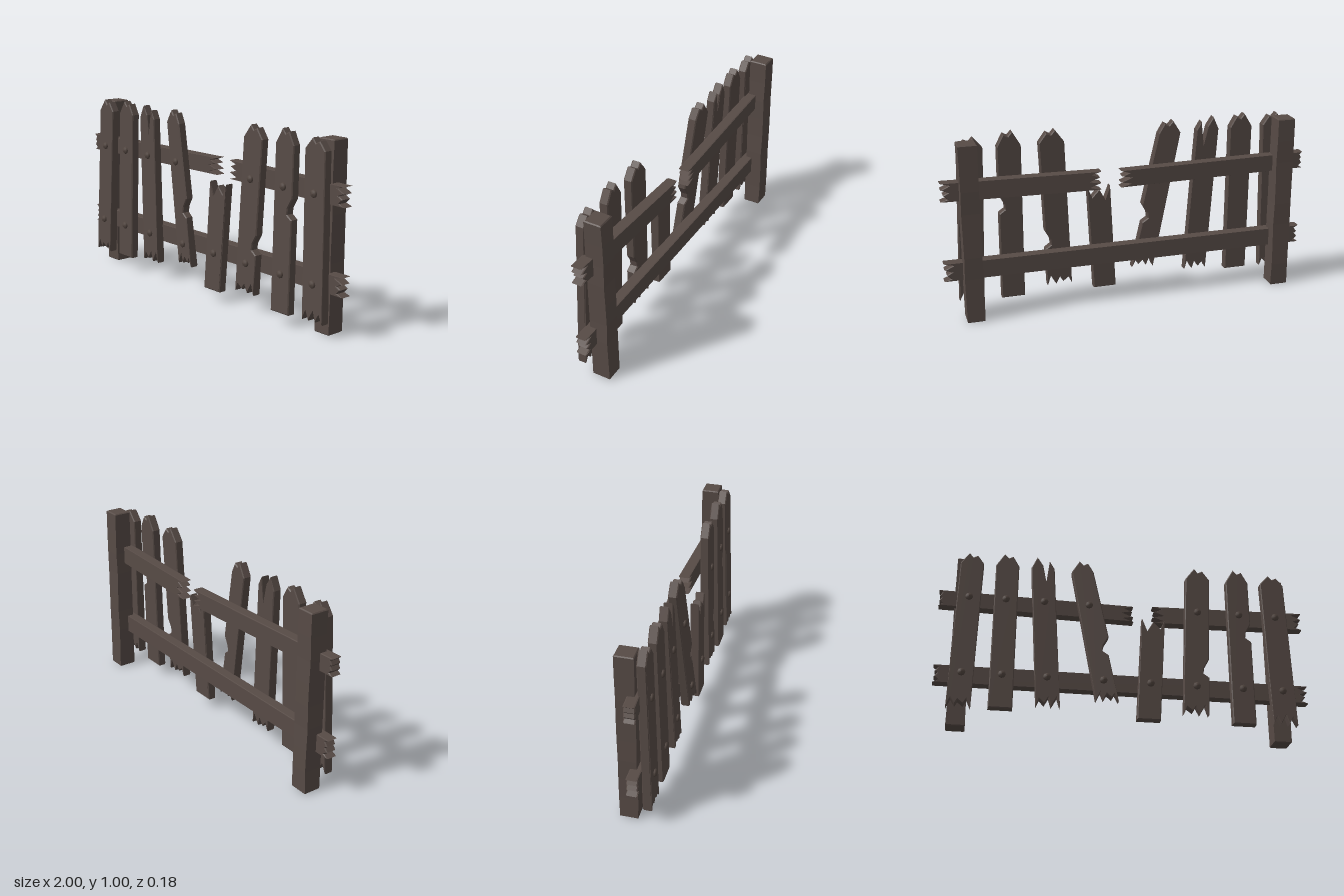
import * as THREE from 'three';

const wood = new THREE.MeshStandardMaterial({ color: 0x574b46 });
wood.name = 'weathered wood';
const iron = new THREE.MeshStandardMaterial({ color: 0x51453f });
iron.name = 'dull bolt';

const pt = (x, y) => new THREE.Vector2(x, y);

// Splintered edge between corners a and b: n teeth, cut to the left of the direction of travel
function splinters(a, b, n, depth) {
  const along = b.clone().sub(a);
  const inward = pt(-along.y, along.x).normalize();
  const points = [a];
  for (let i = 1; i < 2 * n - 2; i++) {
    const wobble = Math.sin(i * 2.3 + a.x * 9);
    const cut = depth * (i % 2 ? 0.85 + 0.15 * wobble : 0.15 + 0.15 * wobble);
    const t = (i + 0.2 * wobble) / (2 * n - 2);
    points.push(a.clone().addScaledVector(along, t).addScaledVector(inward, cut));
  }
  return [...points, b];
}

// Plank with worn edges; zAt(x, y) gives its centre depth
function plank(name, outline, thickness, zAt) {
  const bevel = 0.005;
  const geo = new THREE.ExtrudeGeometry(new THREE.Shape(outline), {
    depth: thickness - 2 * bevel, bevelEnabled: true, bevelSegments: 1,
    bevelSize: bevel, bevelThickness: bevel, bevelOffset: -bevel,
  });
  const p = geo.attributes.position;
  for (let i = 0; i < p.count; i++) {
    p.setZ(i, p.getZ(i) + bevel - thickness / 2 + zAt(p.getX(i), p.getY(i)));
  }
  geo.computeVertexNormals();
  const mesh = new THREE.Mesh(geo, wood);
  mesh.name = name;
  return mesh;
}

// Square post with worn edges and slightly wavy sides
function post(name, x) {
  const w = 0.048;
  const shape = new THREE.Shape([pt(-w, -w), pt(w, -w), pt(w, w), pt(-w, w)]);
  const geo = new THREE.ExtrudeGeometry(shape, {
    depth: 0.96, steps: 8, bevelEnabled: true, bevelSegments: 1,
    bevelSize: 0.005, bevelThickness: 0.005, bevelOffset: -0.005,
  });
  geo.rotateX(-Math.PI / 2);
  const p = geo.attributes.position;
  for (let i = 0; i < p.count; i++) {
    const y = p.getY(i);
    const s = 1 + 0.03 * Math.sin(y * 17 + x * 5);
    p.setXYZ(i, p.getX(i) * s, y + 0.005, p.getZ(i) * (2 - s));
  }
  geo.computeVertexNormals();
  const mesh = new THREE.Mesh(geo, wood);
  mesh.name = name;
  mesh.position.set(x, 0, -0.042);
  return mesh;
}

// Faceted domed bolt head facing forward
function bolt(x, y, z) {
  const geo = new THREE.LatheGeometry([pt(0.021, -0.01), pt(0.021, 0.004), pt(0.015, 0.011), pt(0, 0.014)], 8);
  geo.rotateX(Math.PI / 2);
  const mesh = new THREE.Mesh(geo, iron);
  mesh.name = 'bolt';
  mesh.position.set(x, y, z);
  return mesh;
}

// Horizontal rail with splintered ends; lean slants the left end, slope bends it in depth
function rail({ name, x0, x1, y0, y1, cut0, cut1, lean = 0, zAt = () => 0 }) {
  const outline = [
    ...splinters(pt(x1, y0), pt(x1, y1), 4, cut1),
    ...splinters(pt(x0 + lean, y1), pt(x0 + lean, y0), 4, cut0),
  ];
  return plank(name, outline, 0.058, zAt);
}

// Upright picket: foot and head centres, optional foot teeth, side nick and head style
function picket({ name, foot, head, base, tip, width = 0.125, teeth = 0, nick, style = 'pointed', yaw = 0 }) {
  const h = width / 2;
  const shoulder = style === 'broken' ? tip : 0.918;
  const mid = (y) => foot + ((head - foot) * (y - base)) / (shoulder - base);
  const left = pt(foot - h, base), right = pt(foot + h, base);
  const outline = teeth ? splinters(left, right, teeth, 0.055) : [left, right];
  if (nick) {
    const edge = mid(nick) + h;
    outline.push(pt(edge, nick - 0.035), pt(edge - 0.032, nick - 0.012), pt(edge - 0.028, nick + 0.02), pt(edge, nick + 0.07));
  }
  const heads = {
    pointed: () => [pt(head + 0.028, tip - 0.012), pt(head + 0.004, tip - 0.025), pt(head - 0.018, tip)],
    split: () => [pt(head + 0.035, tip - 0.02), pt(head + 0.02, tip - 0.15), pt(head, tip - 0.05), pt(head - 0.032, tip)],
    broken: () => splinters(pt(head + h, tip), pt(head - h, tip), 3, 0.08).slice(1, -1),
  };
  outline.push(pt(head + h, shoulder), ...heads[style](), pt(head - h, shoulder));

  const zAt = (x, y) => 0.058 - 0.026 * y + yaw * (x + 0.15);
  const group = new THREE.Group();
  group.name = name;
  group.add(plank('board', outline, 0.048, zAt));
  for (const y of [0.267, 0.71]) {
    if (y < tip) group.add(bolt(mid(y), y, zAt(mid(y), y) + 0.024));
  }
  return group;
}

const pickets = [
  { name: 'rightEndPicket', foot: -0.86, head: -0.835, base: 0.075, tip: 0.98, teeth: 4 },
  { name: 'rightOuterPicket', foot: -0.648, head: -0.645, base: 0.08, tip: 0.99 },
  { name: 'splitPicket', foot: -0.405, head: -0.453, base: 0.105, tip: 0.985, teeth: 4, style: 'split' },
  { name: 'leaningPicket', foot: -0.098, head: -0.235, base: 0.15, tip: 0.985, width: 0.118, teeth: 4, nick: 0.45, yaw: 0.1 },
  { name: 'brokenPicket', foot: 0.12, head: 0.153, base: 0.06, tip: 0.65, style: 'broken' },
  { name: 'leftInnerPicket', foot: 0.373, head: 0.405, base: 0.105, tip: 0.985, width: 0.135, teeth: 4, nick: 0.355 },
  { name: 'leftOuterPicket', foot: 0.63, head: 0.628, base: 0.065, tip: 0.995, nick: 0.585 },
  { name: 'leftEndPicket', foot: 0.853, head: 0.828, base: 0.075, tip: 0.975, width: 0.132, teeth: 4 },
];

// The two upper rails sag backwards towards the break
const rails = [
  { name: 'upperRailRight', x0: -1, x1: 0.055, y0: 0.665, y1: 0.757, cut0: 0.02, cut1: 0.06, zAt: (x) => -0.04 * (x + 1) },
  { name: 'upperRailLeft', x0: 0.14, x1: 0.995, y0: 0.662, y1: 0.762, cut0: 0.06, cut1: 0.05, lean: 0.02, zAt: (x) => 0.045 * (x - 1) },
  { name: 'lowerRail', x0: -1, x1: 1, y0: 0.223, y1: 0.322, cut0: 0.03, cut1: 0.05 },
];

export function createModel() {
  const model = new THREE.Group();
  model.name = 'brokenPicketFence';
  model.add(post('rightPost', -0.868), post('leftPost', 0.853));
  model.add(...rails.map(rail), ...pickets.map(picket));
  return model;
}
